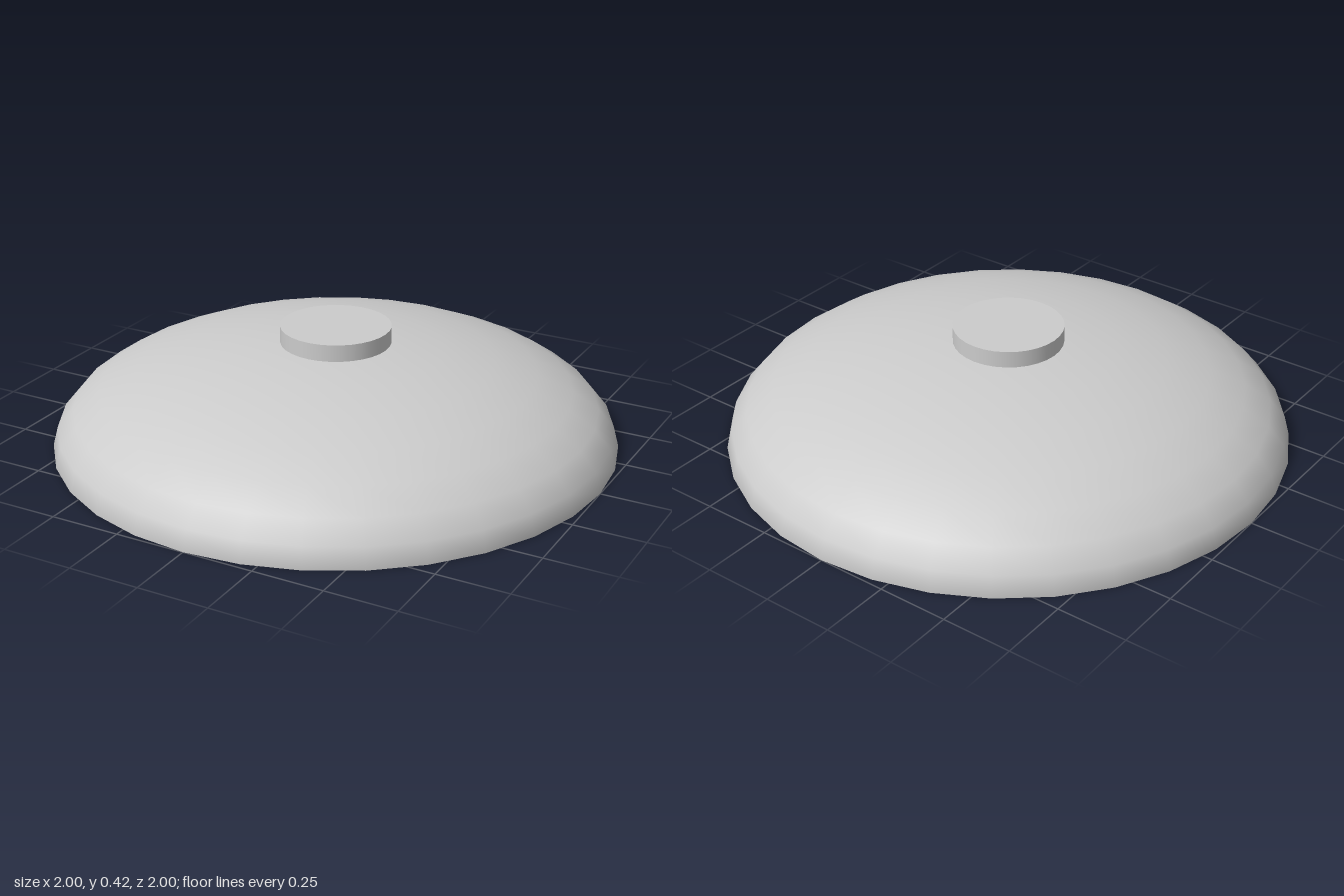
import * as THREE from 'three';

const SEGMENTS = 32;
const DOME_HEIGHT = 0.365;
const KNOB_RADIUS = 0.195;
const KNOB_BOTTOM = 0.35;
const KNOB_TOP = 0.418;

export function createModel() {
  const group = new THREE.Group();
  group.name = 'domedLid';
  const material = new THREE.MeshStandardMaterial({ color: 0xcccccc });

  const add = (name, geometry, y = 0) => {
    const mesh = new THREE.Mesh(geometry, material);
    mesh.name = name;
    mesh.position.y = y;
    group.add(mesh);
  };

  // Shallow dome: upper half of a flattened sphere
  const dome = new THREE.SphereGeometry(1, SEGMENTS, 8, 0, Math.PI * 2, 0, Math.PI / 2);
  dome.scale(1, DOME_HEIGHT, 1);
  add('dome', dome);

  // Flat underside closing the dome
  add('base', new THREE.CircleGeometry(1, SEGMENTS).rotateX(Math.PI / 2));

  // Short round knob, sunk slightly into the crown
  const knob = new THREE.CylinderGeometry(KNOB_RADIUS, KNOB_RADIUS, KNOB_TOP - KNOB_BOTTOM, SEGMENTS);
  add('knob', knob, (KNOB_TOP + KNOB_BOTTOM) / 2);

  return group;
}
